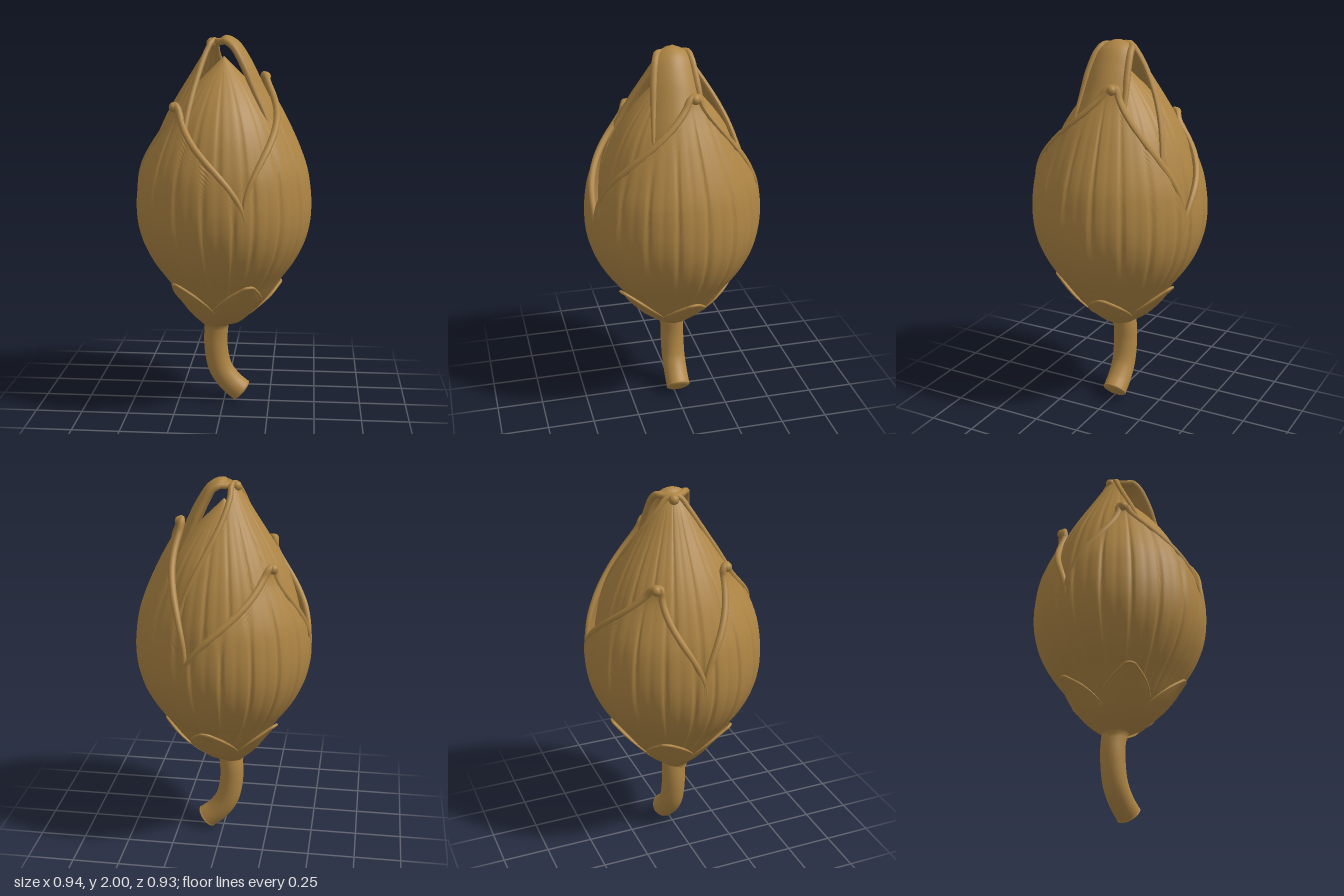
import * as THREE from 'three';

const V3 = (x, y, z) => new THREE.Vector3(x, y, z);
const rad = THREE.MathUtils.degToRad;

// Radius of the bud at heights 0.4, 0.5 ... 2.0
const profile = (radii) => {
  const curve = new THREE.SplineCurve(radii.map((r, i) => new THREE.Vector2(r, 0.4 + i * 0.1)));
  return (y) => Math.max(0.004, curve.getPoint(THREE.MathUtils.clamp((y - 0.4) / 1.6, 0, 1)).x);
};
const outerRadius = profile([0.03, 0.142, 0.232, 0.305, 0.378, 0.43, 0.459, 0.468, 0.462, 0.445, 0.412, 0.37, 0.322, 0.265, 0.2, 0.13, 0.05]);
const innerRadius = profile([0.03, 0.1, 0.19, 0.26, 0.32, 0.365, 0.39, 0.4, 0.4, 0.39, 0.365, 0.33, 0.283, 0.225, 0.162, 0.1, 0.035]);

// Point at a bearing (0 = front, 90 = +x), radius and height
const polar = (deg, r, y) => V3(r * Math.sin(rad(deg)), y, r * Math.cos(rad(deg)));

// Smooth sheet from a rule point(u, v), u in -1..1 and v in 0..1
function sheet(nu, nv, point) {
  const pos = [], idx = [];
  for (let j = 0; j <= nv; j++) {
    for (let i = 0; i <= nu; i++) pos.push(...point((2 * i) / nu - 1, j / nv).toArray());
  }
  for (let j = 0; j < nv; j++) {
    for (let i = 0; i < nu; i++) {
      const a = j * (nu + 1) + i, b = a + nu + 1;
      idx.push(a, a + 1, b, a + 1, b + 1, b);
    }
  }
  const g = new THREE.BufferGeometry();
  g.setAttribute('position', new THREE.Float32BufferAttribute(pos, 3));
  g.setIndex(idx);
  g.computeVertexNormals();
  return g;
}

// Rolled lip up one edge, over the tip and down the other, fading out at both ends
function lipTube(point, from, to, radius, steps = 24) {
  const edge = [];
  for (let i = 0; i <= steps; i++) edge.push(point(-1, from + ((to - from) * i) / steps));
  for (let i = steps; i >= 0; i--) edge.push(point(1, from + ((to - from) * i) / steps));
  const curve = new THREE.CatmullRomCurve3(edge);
  const rings = 140, sides = 10;
  const g = new THREE.TubeGeometry(curve, rings, radius, sides);
  const pos = g.attributes.position, p = V3();
  for (let i = 0; i <= rings; i++) {
    const c = curve.getPointAt(i / rings);
    const k = Math.min(1, 0.1 + 3 * Math.min(i, rings - i) / rings);
    for (let j = 0; j <= sides; j++) {
      const n = i * (sides + 1) + j;
      p.fromBufferAttribute(pos, n).sub(c).multiplyScalar(k).add(c);
      pos.setXYZ(n, p.x, p.y, p.z);
    }
  }
  g.computeVertexNormals();
  return g;
}

// Narrow vein grooves: deep ones at whole steps of s, fainter ones between
function veins(s) {
  const d = Math.abs(s - Math.round(s));
  return -0.012 * Math.exp(-((d / 0.06) ** 2)) - 0.003 * Math.exp(-(((d - 0.5) / 0.1) ** 2));
}

export function createModel() {
  const model = new THREE.Group();
  const tan = new THREE.MeshStandardMaterial({ color: 0xae8544, side: THREE.DoubleSide });
  tan.name = 'warm tan';
  const add = (name, geometry, parent = model) => {
    const mesh = new THREE.Mesh(geometry, tan);
    mesh.name = name;
    parent.add(mesh);
    return mesh;
  };

  // Petal wrapped on the bud: full width low down, narrowing to a neck and a tip curled outward
  function petal(name, { centre, width, tipAngle, tip, radius, lift = 0, lean = 0.05, curl = 0.075, taper = 1.6, rim = 0.018 }) {
    const group = new THREE.Group();
    group.name = name;
    const base = 0.46;
    const point = (u, t, groove = 0) => {
      const y = base + (tip - base) * t;
      const s = Math.max(0, (t - 0.5) / 0.5);
      const w = width * (0.06 + 0.94 * Math.pow(Math.max(0, 1 - s * s), taper));
      const angle = centre + (tipAngle - centre) * s * s + u * w;
      const r = radius(y) + lift - lean * Math.pow(t, 8) + curl * Math.pow(t, 24);
      return polar(angle, r + groove * veins((angle - centre) / 19 + 0.5) * Math.sin(Math.PI * t), y);
    };
    add('petalBlade', sheet(100, 56, (u, t) => point(u, t, 1)), group);
    add('petalLip', lipTube((u, t) => point(u, t).multiply(V3(0.977, 1, 0.977)), 0.2, 0.99, rim), group);
    const end = add('petalTip', new THREE.SphereGeometry(0.026, 16, 12), group);
    end.position.copy(point(0, 0.985));
    model.add(group);
  }

  // Three outer petals
  petal('frontOuterPetal', { centre: -37, width: 55, tipAngle: -52, tip: 1.655, radius: outerRadius });
  petal('backOuterPetal', { centre: 215, width: 55, tipAngle: 236, tip: 1.6, radius: outerRadius });
  petal('sideOuterPetal', { centre: 90, width: 73, tipAngle: 108, tip: 1.8, radius: outerRadius, lean: 0.02, curl: 0.045, taper: 1.3 });

  // Inner petal folded over the back, closing under the top petal
  petal('innerPetal', { centre: -120, width: 90, tipAngle: -105, tip: 1.98, radius: innerRadius, lift: 0.012, lean: 0, curl: 0, taper: 0.4, rim: 0.015 });

  // Closed heart of the bud
  add('budHeart', sheet(160, 50, (u, v) => {
    const y = 0.46 + 1.43 * v;
    return polar(u * 180, (innerRadius(y) - 0.008 + veins(u * 9) * Math.sin(Math.PI * v)) * (1 - Math.pow(v, 14)), y);
  }));

  // Top petal rising from the side and hooking over the point
  const hook = new THREE.CatmullRomCurve3([
    V3(0.345, 1.42, 0.01), V3(0.28, 1.6, 0.01), V3(0.205, 1.75, 0.01), V3(0.14, 1.88, 0.01),
    V3(0.075, 1.97, 0.005), V3(0.01, 1.998, 0), V3(-0.035, 1.968, 0)]);
  const hookPoint = (u, v) => {
    const p = hook.getPoint(v);
    const t = hook.getTangent(v);
    const w = (0.155 - 0.095 * v) * (v > 0.85 ? Math.sqrt(1.05 - ((v - 0.85) / 0.15) ** 2) : 1);
    const drop = 0.4 * w * u * u;
    return V3(p.x - t.y * drop, p.y + t.x * drop, p.z + u * w);
  };
  add('topPetal', sheet(32, 40, hookPoint));
  add('topPetalLip', lipTube(hookPoint, 0, 1, 0.018, 16));

  // The base of the bud leans over to meet the stem
  const baseShift = (p, v) => p.setX(p.x - 0.042 * (1 - v) ** 3);

  // Five pointed sepals cupping the base
  [0.72, 0.675, 0.71, 0.705, 0.71].forEach((tip, k) => {
    const point = (u, v) => {
      const s = Math.max(0, (v - 0.35) / 0.65);
      const w = 39 * (1 - 0.92 * Math.pow(s, 1.3));
      const y = 0.44 + (tip - 0.44) * v;
      const r = outerRadius(y) + 0.004 + 0.014 * Math.min(1, 3 * v) - 0.008 * u * u * v + 0.012 * Math.pow(v, 8);
      return baseShift(polar(27 + 72 * k + u * w, r, y), v);
    };
    add('sepal', sheet(20, 20, point));
    add('sepalLip', lipTube(point, 0.35, 1, 0.008, 10));
  });

  // Cup joining the sepals to the stem
  add('cup', sheet(48, 12, (u, v) => {
    const y = 0.41 + 0.2 * v;
    return baseShift(polar(u * 180, Math.max(0.064, outerRadius(y) + 0.003), y), Math.max(0, (y - 0.44) / 0.27));
  }));

  // Curved stem with a softly rounded cut end
  const stem = new THREE.CatmullRomCurve3([
    V3(-0.03, 0.5, 0), V3(-0.044, 0.4, -0.01), V3(-0.045, 0.3, -0.012), V3(-0.02, 0.18, -0.014), V3(0.035, 0.1, -0.015), V3(0.093, 0.05, -0.015)]);
  add('stem', new THREE.TubeGeometry(stem, 40, 0.065, 24));
  const end = add('stemEnd', new THREE.SphereGeometry(0.067, 24, 16));
  end.position.set(0.093, 0.05, -0.015);
  end.scale.y = 0.25;
  end.quaternion.setFromUnitVectors(V3(0, 1, 0), stem.getTangent(1));

  return model;
}
